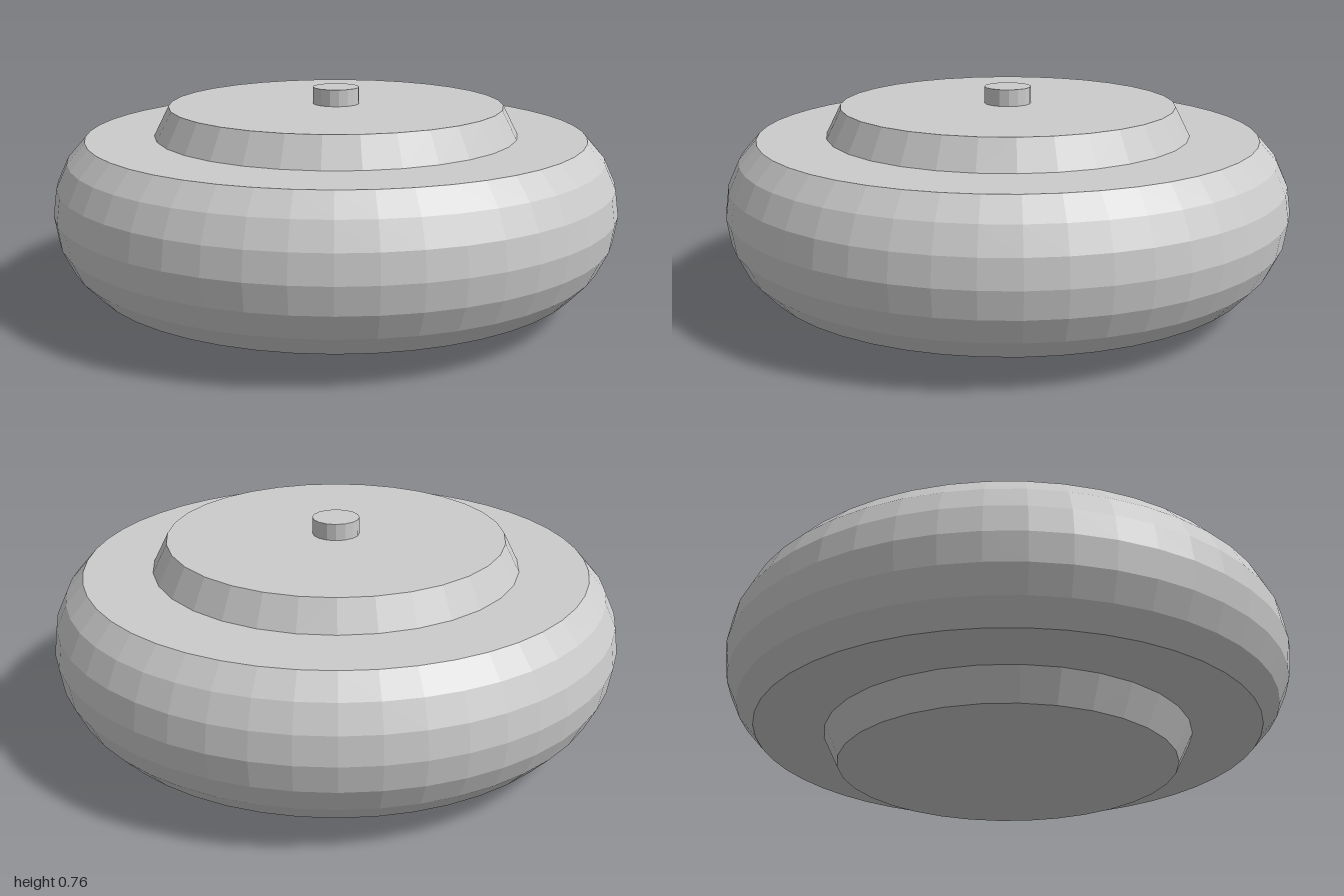
import * as THREE from 'three';

export function createModel() {
  const group = new THREE.Group();
  const material = new THREE.MeshStandardMaterial({ color: 0xcccccc, flatShading: true });
  const midY = 0.352;

  const add = (name, geometry, y) => {
    const mesh = new THREE.Mesh(geometry, material);
    mesh.name = name;
    mesh.position.y = y;
    group.add(mesh);
    return mesh;
  };

  // Wide body with a bulging rim and flat top and bottom
  const bulge = 0.323, halfAngle = 0.872, bands = 6;
  const profile = [];
  for (let i = 0; i <= bands; i++) {
    const a = halfAngle * (2 * i / bands - 1);
    profile.push(new THREE.Vector2(1 - bulge + bulge * Math.cos(a), bulge * Math.sin(a)));
  }
  profile.unshift(new THREE.Vector2(0, profile[0].y));
  profile.push(new THREE.Vector2(0, profile[profile.length - 1].y));
  add('body', new THREE.LatheGeometry(profile, 48), midY);

  // Tapered discs above and below the body
  const discHeight = 0.102;
  add('topDisc', new THREE.CylinderGeometry(0.594, 0.646, discHeight, 32), 0.599 + discHeight / 2);
  add('bottomDisc', new THREE.CylinderGeometry(0.646, 0.594, discHeight + 0.003, 32), (discHeight + 0.003) / 2);

  // Small button in the middle of the top
  add('button', new THREE.CylinderGeometry(0.083, 0.083, 0.06, 16), 0.73);

  return group;
}
